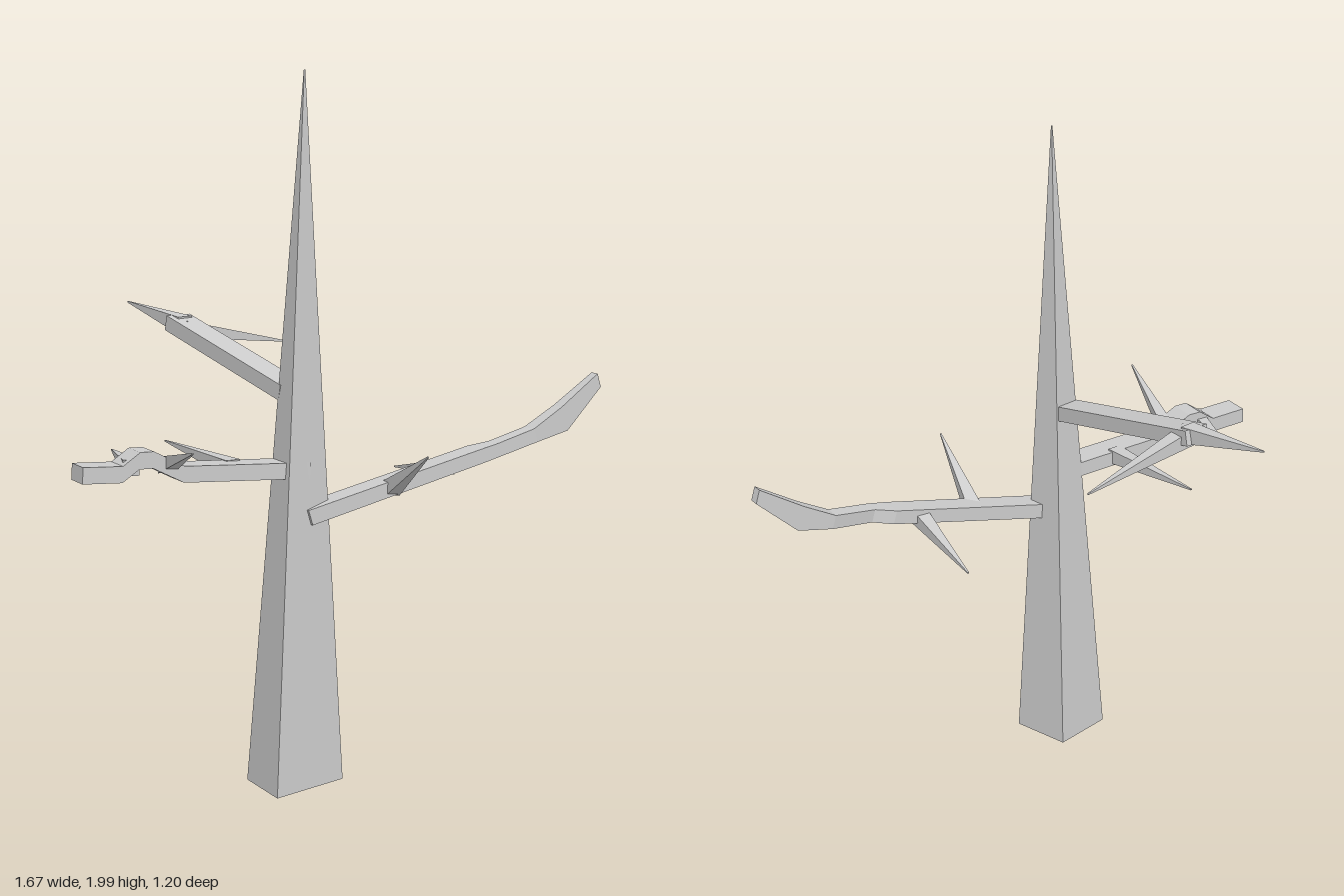
import * as THREE from 'three';

const material = new THREE.MeshStandardMaterial({ color: 0xcccccc, flatShading: true });

// Skin a list of four-cornered rings, corners counter-clockwise about the direction of travel
function loft(name, rings) {
  const index = [];
  for (let r = 0; r < rings.length - 1; r++) {
    for (let i = 0; i < 4; i++) {
      const a = r * 4 + i, b = r * 4 + (i + 1) % 4;
      index.push(a, b, b + 4, a, b + 4, a + 4);
    }
  }
  const e = (rings.length - 1) * 4;
  index.push(0, 2, 1, 0, 3, 2, e, e + 1, e + 2, e, e + 2, e + 3);
  const indexed = new THREE.BufferGeometry().setFromPoints(rings.flat());
  indexed.setIndex(index);
  const geometry = indexed.toNonIndexed();
  geometry.computeVertexNormals();
  const mesh = new THREE.Mesh(geometry, material);
  mesh.name = name;
  return mesh;
}

// Rectangular limb through stations [x, y, z, width, height]
function limb(name, stations) {
  const centers = stations.map(([x, y, z]) => new THREE.Vector3(x, y, z));
  const dir = centers[centers.length - 1].clone().sub(centers[0]).normalize();
  const side = new THREE.Vector3(0, 1, 0).cross(dir).normalize();
  const up = dir.clone().cross(side);
  return loft(name, stations.map(([, , , w, h], k) =>
    [[1, 1], [-1, 1], [-1, -1], [1, -1]].map(([s, t]) =>
      centers[k].clone().addScaledVector(side, s * w / 2).addScaledVector(up, t * h / 2))));
}

// Twig tapering to a point
const spike = (name, base, tip, size = 0.045) =>
  limb(name, [[...base, size, size], [...tip, 0.004, 0.004]]);

export function createModel() {
  const tree = new THREE.Group();
  tree.name = 'bareTree';

  // Trunk: irregular four-sided spire
  const foot = [[-0.315, 0.4], [-0.066, 0.345], [-0.115, 0.17], [-0.3, 0.21]];
  const apex = new THREE.Vector3(-0.147, 1.99, 0.27);
  const bottom = foot.map(([x, z]) => new THREE.Vector3(x, 0, z));
  tree.add(loft('trunk', [bottom, bottom.map((p) => {
    const q = p.clone().setY(apex.y);
    return apex.clone().lerp(q, 0.015);
  })]));

  // Long branch on the left, with an upturned end
  const left = new THREE.Group();
  left.name = 'leftBranch';
  left.add(
    limb('leftBranchLimb', [
      [-0.17, 0.765, 0.305, 0.075, 0.045],
      [0.39, 0.89, 0.338, 0.07, 0.042],
      [0.45, 0.903, 0.35, 0.048, 0.04],
      [0.59, 0.93, 0.335, 0.048, 0.042],
      [0.695, 0.97, 0.338, 0.042, 0.075],
      [0.825, 1.073, 0.338, 0.03, 0.042],
    ]),
    spike('leftBranchFrontTwig', [0.1, 0.82, 0.335], [0.042, 0.955, 0.6]),
    spike('leftBranchBackTwig', [0.295, 0.86, 0.33], [0.325, 0.81, 0.018]),
  );

  // Crooked branch on the right
  const right = new THREE.Group();
  right.name = 'rightBranch';
  right.add(
    limb('rightBranchLimb', [
      [-0.16, 0.895, 0.285, 0.085, 0.045],
      [-0.54, 0.917, 0.258, 0.08, 0.045],
      [-0.63, 0.964, 0.252, 0.08, 0.046],
      [-0.67, 0.965, 0.249, 0.08, 0.046],
      [-0.72, 0.932, 0.245, 0.08, 0.045],
      [-0.833, 0.938, 0.236, 0.078, 0.045],
    ]),
    spike('rightBranchFrontTwig', [-0.555, 0.932, 0.215], [-0.663, 1.025, 0.56]),
    spike('rightBranchBackTwig', [-0.69, 0.945, 0.27], [-0.633, 0.955, 0.048]),
    spike('rightBranchInnerTwig', [-0.365, 0.91, 0.25], [-0.377, 0.932, -0.118]),
  );

  // Straight branch at the back
  const back = new THREE.Group();
  back.name = 'backBranch';
  back.add(
    limb('backBranchLimb', [
      [-0.178, 1.107, 0.25, 0.08, 0.045],
      [-0.21, 1.24, -0.345, 0.08, 0.045],
    ]),
    spike('backBranchEndTwig', [-0.205, 1.235, -0.31], [-0.242, 1.277, -0.598], 0.05),
    spike('backBranchSideTwig', [-0.22, 1.225, -0.3], [0.16, 1.158, -0.337], 0.05),
  );

  tree.add(left, right, back);
  return tree;
}
